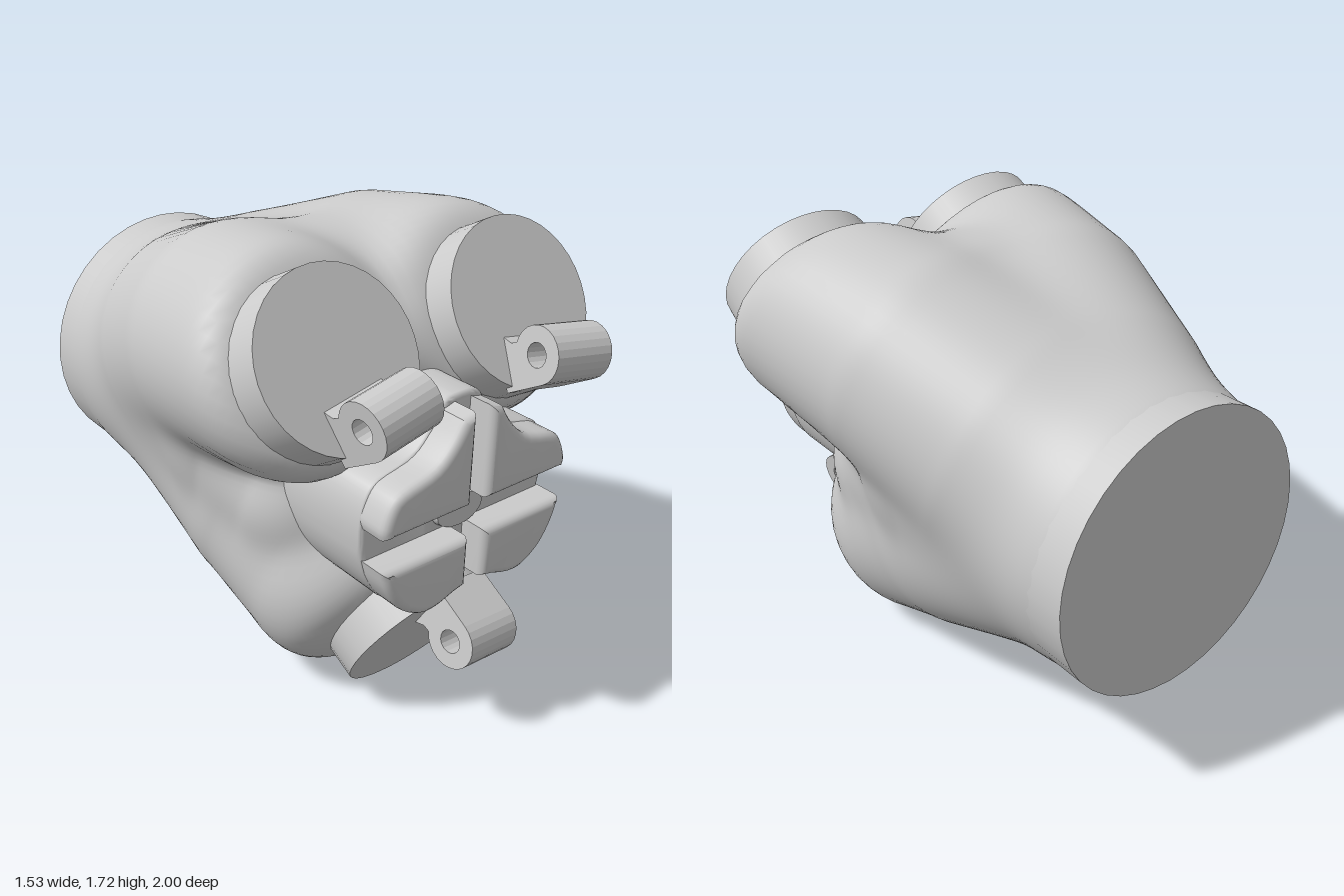
import * as THREE from 'three';
import { mergeVertices, toCreasedNormals } from 'three/addons/utils/BufferGeometryUtils.js';

const mat = new THREE.MeshStandardMaterial({ color: 0xcccccc });
const V = (x, y, z) => new THREE.Vector3(x, y, z);
const TILT = Math.PI / 6;

function add(parent, geometry, name) {
  const mesh = new THREE.Mesh(geometry, mat);
  mesh.name = name;
  parent.add(mesh);
  return mesh;
}

// Chains of tapered spheres springing from the wrist: [centre, radius] per joint,
// with a cutting plane where a socket sits
const ROOT = [V(0, 0.9, -0.8), 0.443];
const upperLobe = (s) => ({
  joints: [ROOT, [V(s * 0.175, 1.12, -0.35), 0.43], [V(s * 0.29, 1.275, 0.02), 0.415],
    [V(s * 0.385, 1.37, 0.47), 0.385]],
  cut: V(s * 0.39, 1.4, 0.576), n: V(0, 0.5, 0.866),
});
const lowerLobe = (s) => ({
  joints: [ROOT, [V(s * 0.045, 0.6, 0), 0.455], [V(s * 0.055, 0.435, 0.33), 0.415]],
  cut: V(0, 0.34, 0.576), n: V(0, -0.5, 0.866),
});
const sideWeb = (s) => ({
  joints: [ROOT, [V(s * 0.23, 0.9, -0.05), 0.32], [V(s * 0.24, 0.78, 0.28), 0.245]],
});
const lobes = [
  ...[1, -1].flatMap((s) => [upperLobe(s), lowerLobe(s), sideWeb(s)]),
  { joints: [ROOT, [V(0, 1.31, 0.1), 0.345], [V(0, 1.2, 0.36), 0.25]] },
];
const softMin = (list, k) => -k * Math.log(list.reduce((s, d) => s + Math.exp(-d / k), 0));

function taperDistance(p, [a, ra], [b, rb]) {
  const axis = b.clone().sub(a);
  const rel = p.clone().sub(a);
  const h = THREE.MathUtils.clamp(rel.dot(axis) / axis.lengthSq(), 0, 1);
  return rel.addScaledVector(axis, -h).length() - THREE.MathUtils.lerp(ra, rb, h);
}

function bodyField(p) {
  const ds = lobes.map(({ joints, cut, n }) => {
    const d = Math.min(...joints.slice(1).map((j, i) => taperDistance(p, joints[i], j)));
    return cut ? -softMin([-d, -p.clone().sub(cut).dot(n)], 0.05) : d;
  });
  return Math.max(softMin(ds, 0.04), -0.95 - p.z);
}

// Push every vertex of a sphere out to the blended surface
function bodyGeometry() {
  const geo = new THREE.SphereGeometry(1, 112, 84).rotateX(Math.PI / 2);
  geo.deleteAttribute('uv');
  geo.deleteAttribute('normal');
  const merged = mergeVertices(geo, 1e-4);
  const pos = merged.attributes.position;
  const centre = V(0, 0.9, -0.1);
  const dir = V(0, 0, 0);
  for (let i = 0; i < pos.count; i++) {
    dir.fromBufferAttribute(pos, i).normalize();
    const at = (t) => centre.clone().addScaledVector(dir, t);
    let hi = 0.1;
    while (hi < 2 && bodyField(at(hi)) < 0) hi += 0.04;
    let lo = hi - 0.04;
    for (let j = 0; j < 12; j++) {
      const mid = (lo + hi) / 2;
      if (bodyField(at(mid)) < 0) lo = mid; else hi = mid;
    }
    const q = at(lo);
    pos.setXYZ(i, q.x, q.y, q.z);
  }
  merged.computeVertexNormals();
  return merged;
}

// Tilted disc with a hinge lug; local +z is the disc normal
function socket(name, x, y, sign, lugX, lugTurn) {
  const g = new THREE.Group();
  g.name = name;
  g.position.set(x, y, 0.68);
  g.rotation.x = -sign * TILT;
  const disc = new THREE.CylinderGeometry(0.3, 0.31, 0.24, 36).rotateX(Math.PI / 2);
  add(g, disc.translate(0, 0, -0.12), 'socketDisc');

  // barrel with a straight outer side and a necked inner side
  const s = new THREE.Shape();
  s.moveTo(-0.03, -0.098);
  s.lineTo(0.135, -0.098);
  s.absarc(0.135, 0, 0.098, -Math.PI / 2, Math.PI * 0.8, false);
  s.lineTo(0.03, 0.06);
  s.lineTo(-0.03, 0.11);
  const hole = new THREE.Path();
  hole.absarc(0.135, 0, 0.042, 0, Math.PI * 2, true);
  s.holes.push(hole);
  const lug = new THREE.ExtrudeGeometry(s, { depth: 0.24, bevelEnabled: false, curveSegments: 8 });
  lug.translate(0, 0, -0.12).rotateY(-Math.PI / 2);
  const mesh = add(g, lug, 'hingeLug');
  mesh.position.set(lugX, -sign * 0.2, 0);
  mesh.rotation.z = lugTurn + (sign < 0 ? Math.PI : 0);
  return g;
}

// Rounded slab from an outline, spanning z0 to z1
function slab(points, z0, z1, bevel) {
  const geo = new THREE.ExtrudeGeometry(new THREE.Shape(points), {
    depth: z1 - z0 - 2 * bevel, bevelThickness: bevel, bevelSize: bevel,
    bevelOffset: -bevel, bevelSegments: 4,
  });
  return toCreasedNormals(geo.translate(0, 0, z0 + bevel), 0.6);
}
const smooth = (pts, n) =>
  new THREE.SplineCurve(pts.map(([x, y]) => new THREE.Vector2(x, y))).getPoints(n);
const mirrored = (pts) => pts.map((p) => new THREE.Vector2(-p.x, p.y)).reverse();

function palmPad() {
  const g = new THREE.Group();
  g.name = 'palmPad';
  // base block that reaches back into the valley between the lobes
  const half = smooth([[0, 0.625], [0.09, 0.61], [0.17, 0.585], [0.24, 0.59], [0.32, 0.64],
    [0.38, 0.73], [0.41, 0.84], [0.41, 0.96], [0.38, 1.05], [0.33, 1.085], [0.21, 1.12],
    [0.14, 1.18], [0.09, 1.26], [0.05, 1.285], [0, 1.29]], 42);
  add(g, slab([...half, ...mirrored(half).slice(1, -1)], 0.4, 0.82, 0.02), 'padBase');

  // four raised cushions separated by a cross of grooves
  const inner = (y) => new THREE.Vector2(0.035, y);
  const upper = [inner(0.93), ...smooth([[0.4, 0.93], [0.405, 0.97], [0.375, 1.045],
    [0.33, 1.08], [0.205, 1.115], [0.135, 1.175], [0.085, 1.25]], 22), inner(1.265)];
  const lower = [inner(0.625), ...smooth([[0.09, 0.612], [0.17, 0.588], [0.24, 0.593],
    [0.32, 0.645], [0.375, 0.73], [0.4, 0.81]], 20), inner(0.81)];
  for (const [name, pts] of [['upperCushion', upper], ['lowerCushion', lower]]) {
    for (const p of [pts, mirrored(pts)]) add(g, slab(p, 0.75, 0.93, 0.03), name);
  }
  // oval boss where the grooves cross
  const boss = add(g, new THREE.CylinderGeometry(0.1, 0.115, 0.06, 28).rotateX(Math.PI / 2), 'padBoss');
  boss.scale.y = 0.58;
  boss.position.set(0, 0.865, 0.81);
  return g;
}

export function createModel() {
  const model = new THREE.Group();
  model.name = 'threeLobedHand';
  add(model, bodyGeometry(), 'body');
  const wrist = new THREE.CylinderGeometry(0.52, 0.52, 0.2, 40).rotateX(Math.PI / 2);
  add(model, wrist.translate(0, 0.9, -0.9), 'wrist');
  model.add(
    socket('leftUpperSocket', 0.39, 1.457, 1, -0.02, -0.17),
    socket('rightUpperSocket', -0.39, 1.457, 1, 0.02, 0.17),
    socket('lowerSocket', 0, 0.275, -1, 0.045, -0.17),
    palmPad(),
  );
  return model;
}
